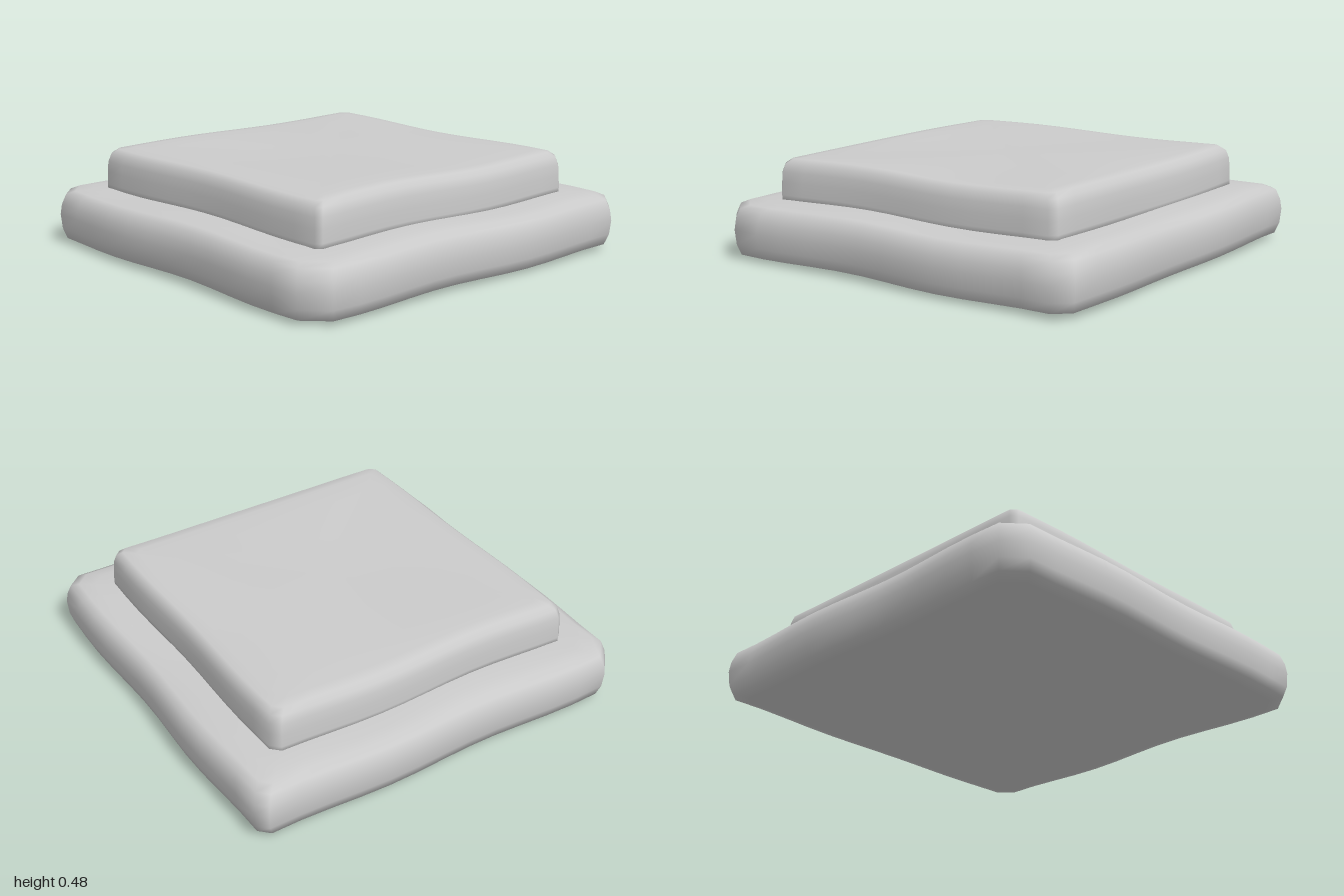
import * as THREE from 'three';

const STEPS = 12; // segments per side of the square

// Square outline (half-size 1) whose four corners are cut by the given amounts.
// Order: (+x,+z), (-x,+z), (-x,-z), (+x,-z)
function outline(cuts) {
  const pts = [];
  for (let k = 0; k < 4; k++) {
    const from = -1 + cuts[(k + 3) % 4];
    const to = 1 - cuts[k];
    for (let i = 0; i <= STEPS; i++) {
      const t = from + (to - from) * (i / STEPS);
      const a = (k * Math.PI) / 2;
      const c = Math.round(Math.cos(a)), s = Math.round(Math.sin(a));
      pts.push([c - s * t, s + c * t]);
    }
  }
  return pts;
}

// Worn slab: square rings follow a profile of [half-size, height] pairs
function wornSlab(name, profile, cuts, wobble, phase) {
  const ring = outline(cuts);
  const n = ring.length;
  const pos = [];
  const index = [];
  profile.forEach(([half, y]) => {
    for (const [u, v] of ring) {
      const x = u * half, z = v * half;
      // gentle waves along the edges and over the faces
      const dx = -wobble * Math.sin(6.2 * z + phase + 1.2) * u * half;
      const dz = wobble * Math.sin(6.2 * x + phase) * v * half;
      const dy = 0.006 * Math.sin(5.5 * x + phase) * Math.cos(4.5 * z + phase);
      pos.push(x + dx, y + dy, z + dz);
    }
  });
  for (let i = 0; i < profile.length - 1; i++) {
    for (let j = 0; j < n; j++) {
      const a = i * n + j, b = i * n + ((j + 1) % n);
      index.push(a, a + n, b, b, a + n, b + n);
    }
  }
  // close the bottom and the top
  const last = (profile.length - 1) * n;
  const bottom = pos.length / 3;
  pos.push(0, profile[0][1], 0, 0, profile[profile.length - 1][1], 0);
  for (let j = 0; j < n; j++) {
    const k = (j + 1) % n;
    index.push(bottom, j, k, bottom + 1, last + k, last + j);
  }
  const geo = new THREE.BufferGeometry();
  geo.setAttribute('position', new THREE.Float32BufferAttribute(pos, 3));
  geo.setIndex(index);
  geo.computeVertexNormals();
  const mesh = new THREE.Mesh(geo, new THREE.MeshStandardMaterial({ color: 0xcccccc }));
  mesh.name = name;
  return mesh;
}

export function createModel() {
  const group = new THREE.Group();
  group.name = 'steppedPlinth';

  // Wide lower slab with rounded sides
  group.add(wornSlab('lowerSlab', [
    [0.45, 0.012], [0.8, 0.012], [0.91, 0.014], [0.965, 0.03], [0.982, 0.08],
    [0.988, 0.15], [0.982, 0.2], [0.965, 0.25], [0.93, 0.267], [0.87, 0.275],
    [0.78, 0.282], [0.45, 0.282],
  ], [0.07, 0.1, 0.09, 0.05], 0.011, -0.3));

  // Narrower upper slab
  group.add(wornSlab('upperSlab', [
    [0.45, 0.265], [0.785, 0.265], [0.787, 0.3], [0.785, 0.36], [0.782, 0.41],
    [0.77, 0.45], [0.745, 0.471], [0.69, 0.477], [0.55, 0.478], [0.3, 0.474],
  ], [0.04, 0.03, 0.035, 0.05], 0.009, 0.2));

  return group;
}
